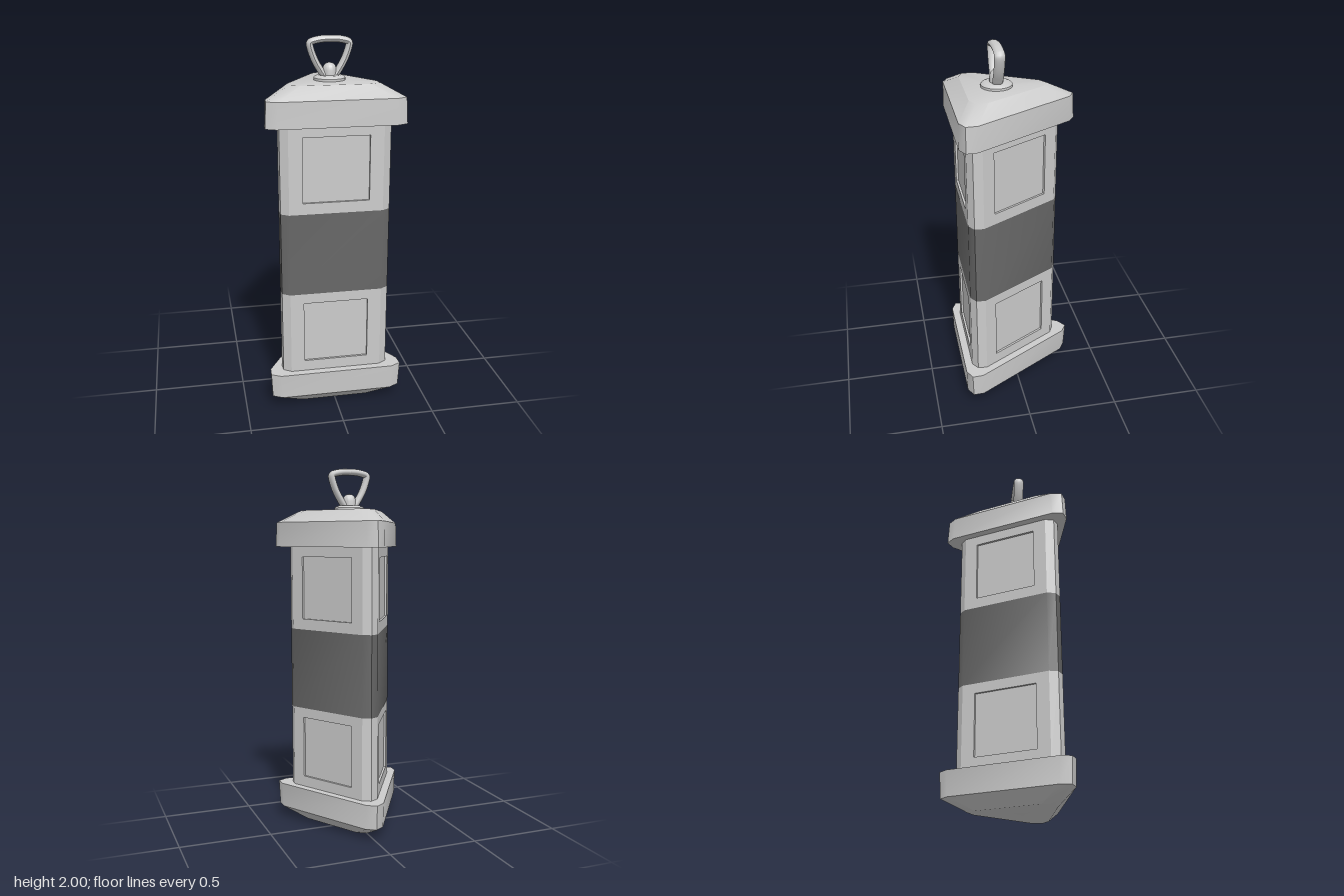
import * as THREE from 'three';
import { toCreasedNormals } from 'three/addons/utils/BufferGeometryUtils.js';

const grey = new THREE.MeshStandardMaterial({ color: 0xcccccc });
const dark = new THREE.MeshStandardMaterial({ color: 0x686868 });
const CENTRE_Z = 0.09;
const RECESS = 0.012;

// Triangle with clipped, pointed corners: r = inradius, h = half side, tip = corner radius.
// A notch sinks the middle of each side inwards.
function section(r, h, tip, notch = 0) {
  const pts = [];
  for (let k = 0; k < 3; k++) {
    const a = (k * 2 * Math.PI) / 3;
    const s = Math.sin(a), c = Math.cos(a);
    const add = (u, v) => pts.push([v * s + u * c, v * c - u * s]);
    add(-h, r);
    if (notch) {
      add(-h, r - notch);
      add(h, r - notch);
    }
    add(h, r);
    pts.push([tip * Math.sin(a + Math.PI / 3), tip * Math.cos(a + Math.PI / 3)]);
  }
  return pts;
}

// Closed solid through stacked sections, given as [y, points] from bottom to top.
function loft(rings) {
  const n = rings[0][1].length, pos = [], idx = [];
  rings.forEach(([y, pts]) => pts.forEach(([x, z]) => pos.push(x, y, z)));
  const bottom = rings.length * n, top = bottom + 1, last = (rings.length - 1) * n;
  pos.push(0, rings[0][0], 0, 0, rings[rings.length - 1][0], 0);
  for (let i = 0; i < n; i++) {
    const j = (i + 1) % n;
    for (let k = 0; k < last; k += n) idx.push(k + i, k + j, k + n + j, k + i, k + n + j, k + n + i);
    idx.push(bottom, j, i, top, last + i, last + j);
  }
  const g = new THREE.BufferGeometry();
  g.setAttribute('position', new THREE.Float32BufferAttribute(pos, 3));
  g.setIndex(idx);
  return toCreasedNormals(g, 0.6);
}

function add(parent, name, geometry, material = grey) {
  const mesh = new THREE.Mesh(geometry, material);
  mesh.name = name;
  parent.add(mesh);
  return mesh;
}

export function createModel() {
  const model = new THREE.Group();
  model.name = 'triangularLantern';
  const prism = new THREE.Group();
  prism.name = 'prismBody';
  prism.position.z = CENTRE_Z;
  model.add(prism);

  // Flared lid and its mirrored base
  const wide = section(0.237, 0.309, 0.419);
  const rim = section(0.233, 0.303, 0.411);
  const flat = section(0.163, 0.18, 0.271);
  add(prism, 'lid', loft([[1.575, wide], [1.71, rim], [1.775, flat]]));
  add(prism, 'base', loft([[0, flat], [0.068, rim], [0.205, wide]]));

  // Two body sections, each with a recessed square panel on all three sides
  const r = 0.195, h = 0.248, tip = 0.334;
  const sections = [
    ['lower', 0.205, 0.665, 0.265],
    ['upper', 1.115, 1.575, 1.175],
  ];
  for (const [label, y0, y1, panelY] of sections) {
    const core = section(r, h, tip, RECESS);
    add(prism, label + 'BodyCore', loft([[y0, core], [y1, core]]));
    const shape = new THREE.Shape([
      new THREE.Vector2(-h, y0), new THREE.Vector2(h, y0),
      new THREE.Vector2(h, y1), new THREE.Vector2(-h, y1),
    ]);
    const w = 0.175, top = panelY + 0.345;
    shape.holes.push(new THREE.Path([
      new THREE.Vector2(-w, panelY), new THREE.Vector2(-w, top),
      new THREE.Vector2(w, top), new THREE.Vector2(w, panelY),
    ]));
    const frame = new THREE.ExtrudeGeometry(shape, { depth: RECESS, bevelEnabled: false });
    frame.translate(0, 0, r - RECESS);
    for (let k = 0; k < 3; k++) {
      add(prism, label + 'PanelFrame', frame).rotation.y = (k * 2 * Math.PI) / 3;
    }
  }

  // Dark middle band
  const band = section(r, h, tip);
  add(prism, 'middleBand', loft([[0.665, band], [1.115, band]]), dark);

  // Hanger: flange, knob and rounded triangular loop
  const hanger = new THREE.Group();
  hanger.name = 'hanger';
  hanger.position.z = 0.083;
  model.add(hanger);
  const lathe = (pts) => toCreasedNormals(
    new THREE.LatheGeometry(pts.map(([x, y]) => new THREE.Vector2(x, y)), 32), 0.6);
  add(hanger, 'flange', lathe([[0.082, 1.77], [0.082, 1.787], [0.077, 1.793], [0.06, 1.8], [0, 1.8]]));
  add(hanger, 'knob', lathe([[0.036, 1.79], [0.036, 1.825], [0.031, 1.846], [0.018, 1.859], [0, 1.864]]));

  const half = [[0.055, 1.979], [0.1, 1.966], [0.103, 1.957], [0.085, 1.895], [0.057, 1.84], [0.022, 1.795]];
  const path = [[0, 1.982], ...half, ...half.slice().reverse().map(([x, y]) => [-x, y])];
  const curve = new THREE.CatmullRomCurve3(path.map(([x, y]) => new THREE.Vector3(x, y, 0)), true);
  const loop = new THREE.TubeGeometry(curve, 96, 0.018, 12, true);
  loop.scale(1, 1, 1.55);
  loop.computeVertexNormals();
  add(hanger, 'hangingLoop', loop);

  return model;
}
